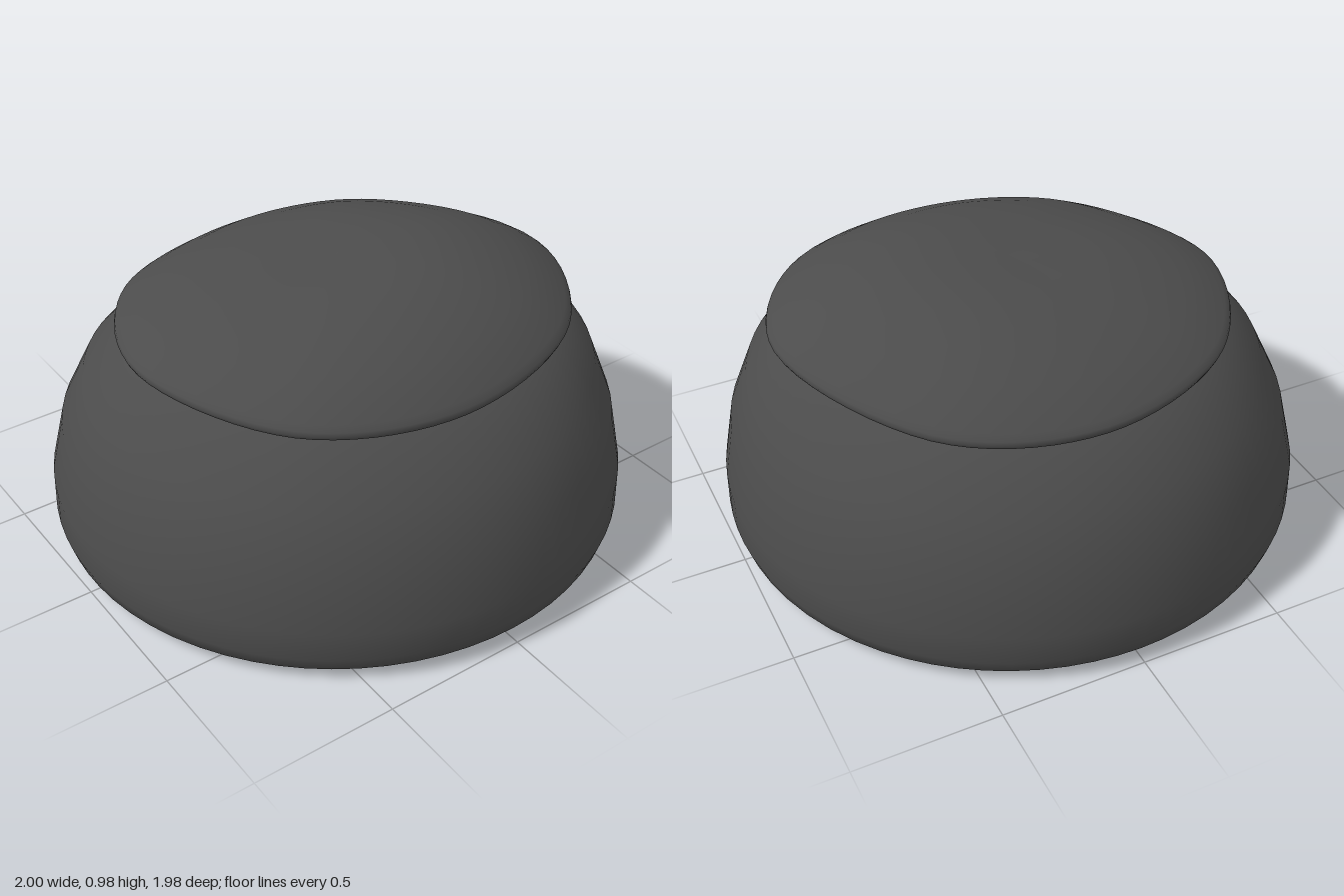
import * as THREE from 'three';

const SEGMENTS = 72;

// Wavy outline of the cap's lower edge, clockwise seen from above, as x, y, z
const rim = new THREE.CatmullRomCurve3([
  [0.805, 0.765, 0.05], [0.55, 0.748, 0.55], [0, 0.708, 0.7], [-0.51, 0.715, 0.5],
  [-0.75, 0.745, -0.03], [-0.52, 0.732, -0.52], [0, 0.71, -0.705], [0.51, 0.722, -0.52],
].map((p) => new THREE.Vector3(...p)), true, 'catmullrom', 0.5);

// Closed smooth skin through horizontal loops listed from the underside up;
// each loop is a rule that turns a rim point and its angle into a position
function skin(name, loops, material) {
  const positions = [], index = [];
  for (const loop of loops) {
    for (let j = 0; j < SEGMENTS; j++) {
      const p = rim.getPoint(j / SEGMENTS);
      positions.push(...loop(p, Math.atan2(p.z, p.x)));
    }
  }
  for (let i = 0; i < loops.length - 1; i++) {
    for (let j = 0; j < SEGMENTS; j++) {
      const a = i * SEGMENTS + j, b = i * SEGMENTS + (j + 1) % SEGMENTS;
      const c = a + SEGMENTS, d = b + SEGMENTS;
      index.push(a, c, b, b, c, d);
    }
  }
  const geometry = new THREE.BufferGeometry();
  geometry.setAttribute('position', new THREE.Float32BufferAttribute(positions, 3));
  geometry.setIndex(index);
  geometry.computeVertexNormals();
  const mesh = new THREE.Mesh(geometry, material);
  mesh.name = name;
  return mesh;
}

export function createModel() {
  const group = new THREE.Group();
  group.name = 'domedButton';
  const darkGrey = new THREE.MeshStandardMaterial({ color: 0x4c4c4c });
  darkGrey.name = 'darkGrey';

  // Flat base with a rounded lower edge: radius, height
  const base = [[0, 0], [0.87, 0], [0.91, 0.001], [0.95, 0.012], [0.985, 0.042], [1, 0.09]]
    .map(([r, y]) => (p, a) => [r * Math.cos(a), y, 0.99 * r * Math.sin(a)]);

  // Side wall blending from the base circle into the rim: height share, blend
  const wall = [[0.27, 0.01], [0.53, 0.17], [0.76, 0.46], [1, 1]]
    .map(([h, blend]) => (p, a) => [
      THREE.MathUtils.lerp(Math.cos(a), p.x * 0.948, blend),
      (p.y + 0.012) * h,
      THREE.MathUtils.lerp(0.99 * Math.sin(a), p.z * 0.948, blend),
    ]);

  // Closing surface hidden beneath the cap
  const lid = [(p) => [p.x * 0.6, p.y + 0.06, p.z * 0.6], () => [0, 0.82, 0]];
  group.add(skin('body', [...base, ...wall, ...lid], darkGrey));

  // Rounded lip of the cap: scale of the rim outline, height above it
  const lip = [[0, 0.03], [0.88, 0.02], [0.95, 0.002], [0.975, 0], [0.993, 0.008], [1, 0.02], [0.995, 0.034]]
    .map(([s, lift]) => (p) => [p.x * s, p.y + lift, p.z * s]);

  // Crown of the cap, fuller towards the front left: scale, share of the rise
  const crown = [[0.97, 0.07], [0.9, 0.25], [0.8, 0.46], [0.66, 0.66], [0.52, 0.81], [0.39, 0.9], [0.26, 0.95], [0.12, 0.985], [0, 1]]
    .map(([s, rise]) => (p, a) => {
      const bulge = (0.04 + 0.1 * Math.cos(a - 0.4)) * s * (1 - s);
      return [p.x * s, THREE.MathUtils.lerp(p.y + 0.036, 0.957, rise) + bulge, p.z * s];
    });
  group.add(skin('cap', [...lip, ...crown], darkGrey));

  return group;
}
